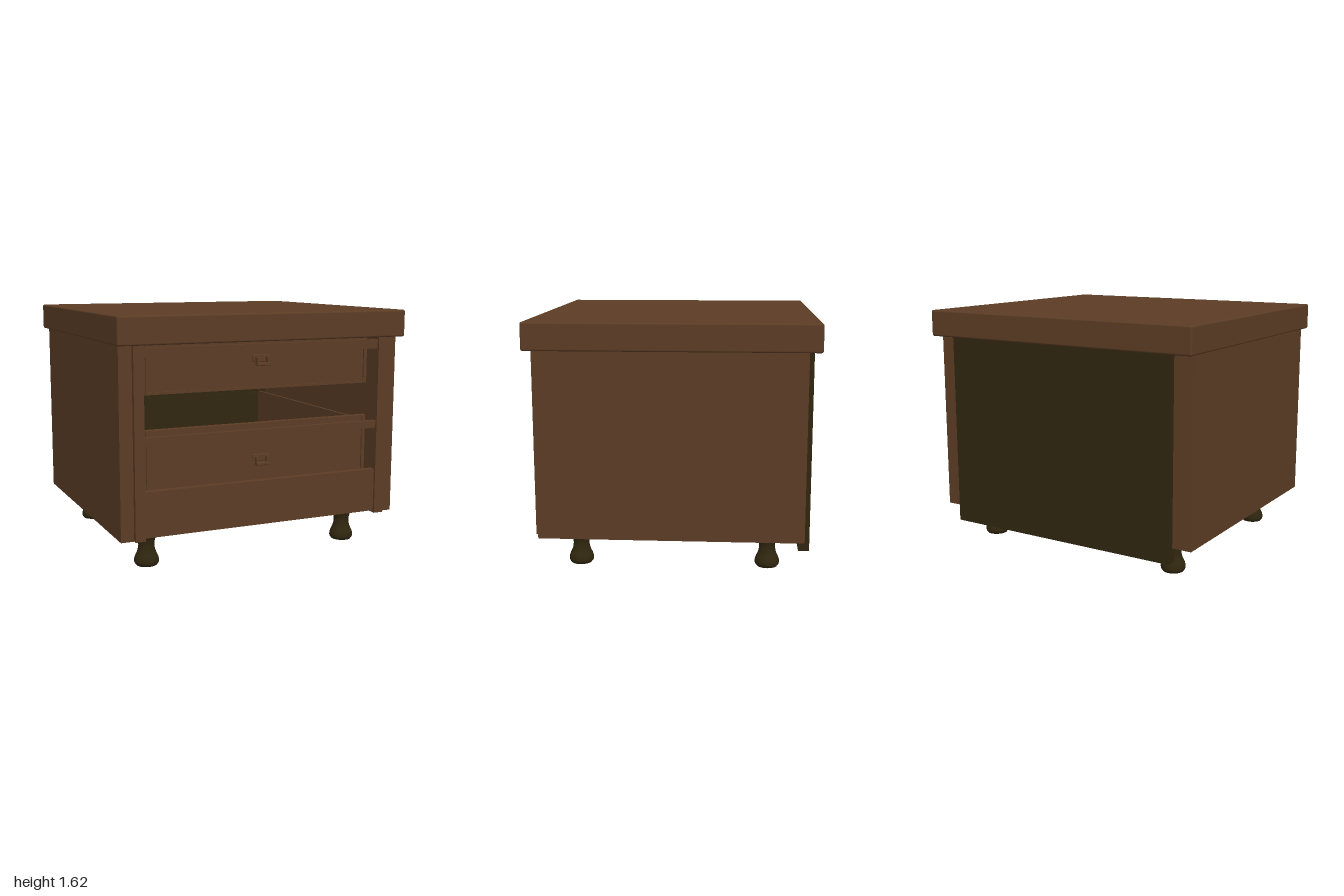
import * as THREE from 'three';
import { RoundedBoxGeometry } from 'three/addons/geometries/RoundedBoxGeometry.js';

const wood = new THREE.MeshStandardMaterial({ color: 0x5c3d25 });
wood.name = 'brown wood';
const dark = new THREE.MeshStandardMaterial({ color: 0x30260f });
dark.name = 'dark wood';

// Box given by its lower and upper limits on each axis
function slab(parent, name, [x0, x1], [y0, y1], [z0, z1], mat = wood, round = 0) {
  const size = [x1 - x0, y1 - y0, z1 - z0];
  const geo = round ? new RoundedBoxGeometry(...size, 2, round) : new THREE.BoxGeometry(...size);
  const mesh = new THREE.Mesh(geo, mat);
  mesh.position.set((x0 + x1) / 2, (y0 + y1) / 2, (z0 + z1) / 2);
  mesh.name = name;
  parent.add(mesh);
}

// Open drawer box with a beaded front and a small pull
function makeDrawer(name, bottom, top, handleY) {
  const g = new THREE.Group();
  g.name = name;
  slab(g, 'drawerFront', [-0.795, 0.795], [bottom, top], [0.75, 0.785]);
  slab(g, 'drawerFloor', [-0.775, 0.775], [bottom, bottom + 0.02], [-0.76, 0.75]);
  slab(g, 'drawerBack', [-0.755, 0.755], [bottom + 0.02, top - 0.04], [-0.78, -0.76], dark);
  for (const s of [-1, 1]) {
    slab(g, 'drawerSide', [s * 0.775 - 0.01, s * 0.775 + 0.01], [bottom, top - 0.03], [-0.78, 0.75]);
    slab(g, 'sideBead', [s * 0.775 - 0.01, s * 0.775 + 0.01], [bottom + 0.015, top - 0.015], [0.785, 0.795]);
  }
  for (const y of [bottom, top - 0.015]) {
    slab(g, 'edgeBead', [-0.785, 0.785], [y, y + 0.015], [0.785, 0.795]);
  }
  // Pull: back plate, two posts and a hanging grip
  slab(g, 'handlePlate', [-0.063, 0.063], [handleY - 0.01, handleY + 0.035], [0.785, 0.797], wood, 0.004);
  for (const s of [-1, 1]) {
    slab(g, 'handlePost', [s * 0.037 - 0.008, s * 0.037 + 0.008], [handleY - 0.03, handleY + 0.02], [0.797, 0.82]);
  }
  slab(g, 'handleGrip', [-0.046, 0.046], [handleY - 0.035, handleY - 0.015], [0.805, 0.83], wood, 0.005);
  return g;
}

export function createModel() {
  const model = new THREE.Group();
  model.name = 'nightstand';

  // Case
  slab(model, 'tableTop', [-1, 1], [1.438, 1.615], [-0.92, 0.92], wood, 0.012);
  slab(model, 'caseFloor', [-0.845, 0.845], [0.245, 0.275], [-0.81, 0.83]);
  slab(model, 'backPanel', [-0.845, 0.845], [0.14, 1.44], [-0.88, -0.81], dark);
  for (const s of [-1, 1]) {
    const span = (a, b) => (s > 0 ? [a, b] : [-b, -a]);
    slab(model, 'sidePanel', span(0.845, 0.975), [0.235, 1.44], [-0.84, 0.85]);
    slab(model, 'frontPost', span(0.825, 0.89), [0.235, 1.44], [0.8, 0.88]);
  }

  // Front rails and apron
  slab(model, 'topRail', [-0.83, 0.83], [1.36, 1.42], [0.835, 0.865]);
  slab(model, 'middleRail', [-0.83, 0.83], [0.825, 0.875], [0.835, 0.865]);
  slab(model, 'apron', [-0.83, 0.83], [0.25, 0.54], [0.82, 0.865]);

  // Drawers
  model.add(makeDrawer('upperDrawer', 1.125, 1.432, 1.31));
  model.add(makeDrawer('lowerDrawer', 0.38, 0.905, 0.665));

  // Turned feet
  const curve = new THREE.SplineCurve([
    [0.068, 0], [0.08, 0.02], [0.077, 0.05], [0.058, 0.095], [0.052, 0.14],
    [0.062, 0.185], [0.08, 0.225], [0.085, 0.25],
  ].map(([r, y]) => new THREE.Vector2(r, y)));
  const profile = [new THREE.Vector2(0, 0), ...curve.getPoints(24)];
  const footGeometry = new THREE.LatheGeometry(profile, 28);
  for (const x of [-0.73, 0.73]) {
    for (const z of [-0.615, 0.615]) {
      const foot = new THREE.Mesh(footGeometry, dark);
      foot.name = 'foot';
      foot.position.set(x, 0, z);
      model.add(foot);
    }
  }
  return model;
}
